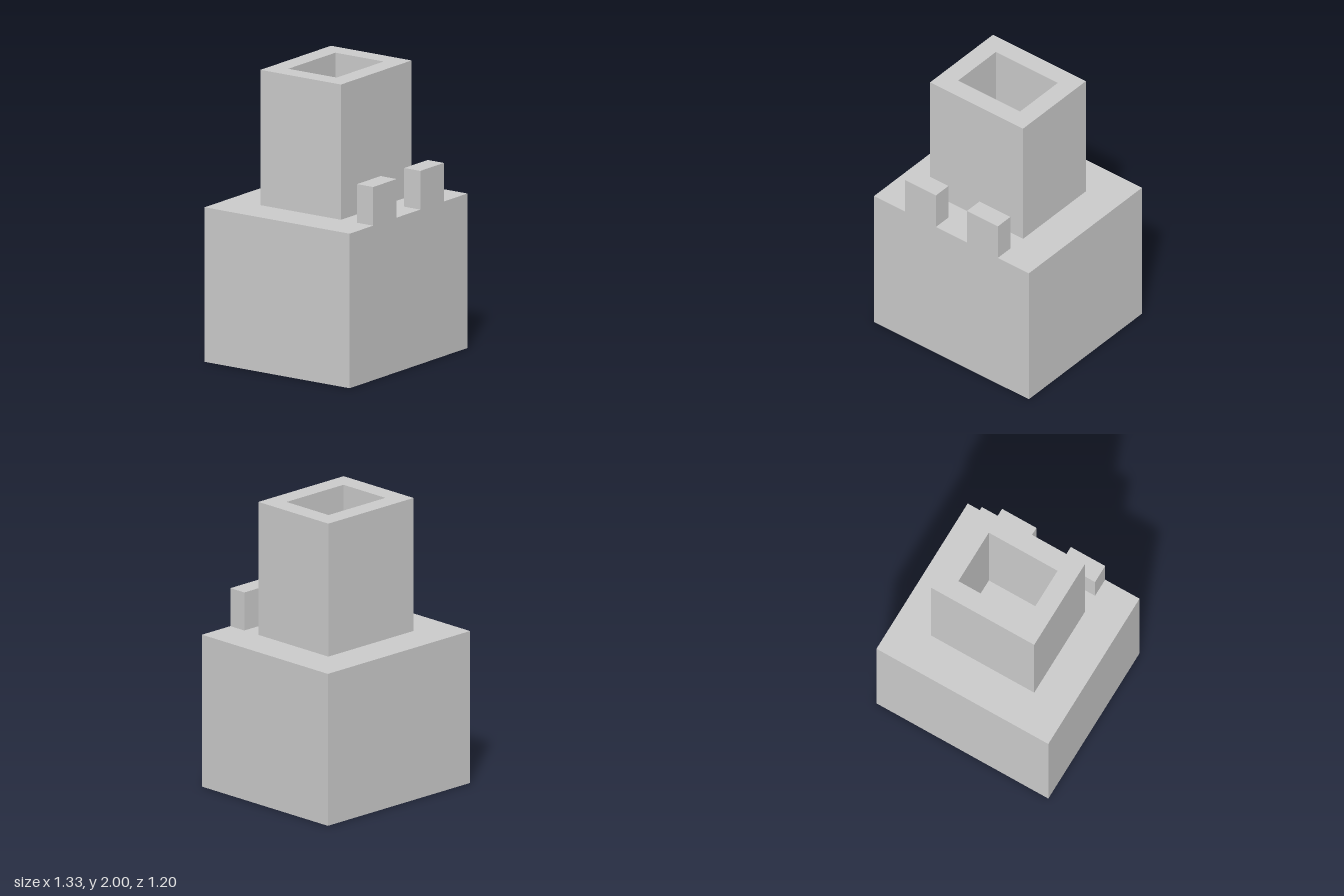
import * as THREE from 'three';

const U = 2 / 15; // the whole tower sits on a 15-unit-high block grid
const material = new THREE.MeshStandardMaterial({ color: 0xcccccc, flatShading: true });

// Box standing on height y, sizes in grid units
function block(name, w, h, d, x, y, z) {
  const geometry = new THREE.BoxGeometry(w * U, h * U, d * U);
  geometry.translate(x * U, (y + h / 2) * U, z * U);
  const mesh = new THREE.Mesh(geometry, material);
  mesh.name = name;
  return mesh;
}

// Corner points of a centred rectangle
function rectangle(w, d) {
  const x = (w * U) / 2, y = (d * U) / 2;
  return [[-x, -y], [x, -y], [x, y], [-x, y]].map(([a, b]) => new THREE.Vector2(a, b));
}

export function createModel() {
  const model = new THREE.Group();
  model.name = 'tower';

  // Solid base block
  model.add(block('base', 10, 8, 9, 0, 0, 0));

  // Two battlements flush with the front face
  for (const [side, name] of [[1, 'leftBattlement'], [-1, 'rightBattlement']]) {
    model.add(block(name, 2, 2, 1, side * 2, 8, 4));
  }

  // Hollow shaft, open at the top and floored by the base
  const outline = new THREE.Shape(rectangle(6, 5));
  outline.holes.push(new THREE.Path(rectangle(4, 3).reverse()));
  const geometry = new THREE.ExtrudeGeometry(outline, { depth: 7 * U, bevelEnabled: false });
  geometry.rotateX(-Math.PI / 2);
  geometry.translate(0, 8 * U, 0);
  const shaft = new THREE.Mesh(geometry, material);
  shaft.name = 'shaft';
  model.add(shaft);

  return model;
}
